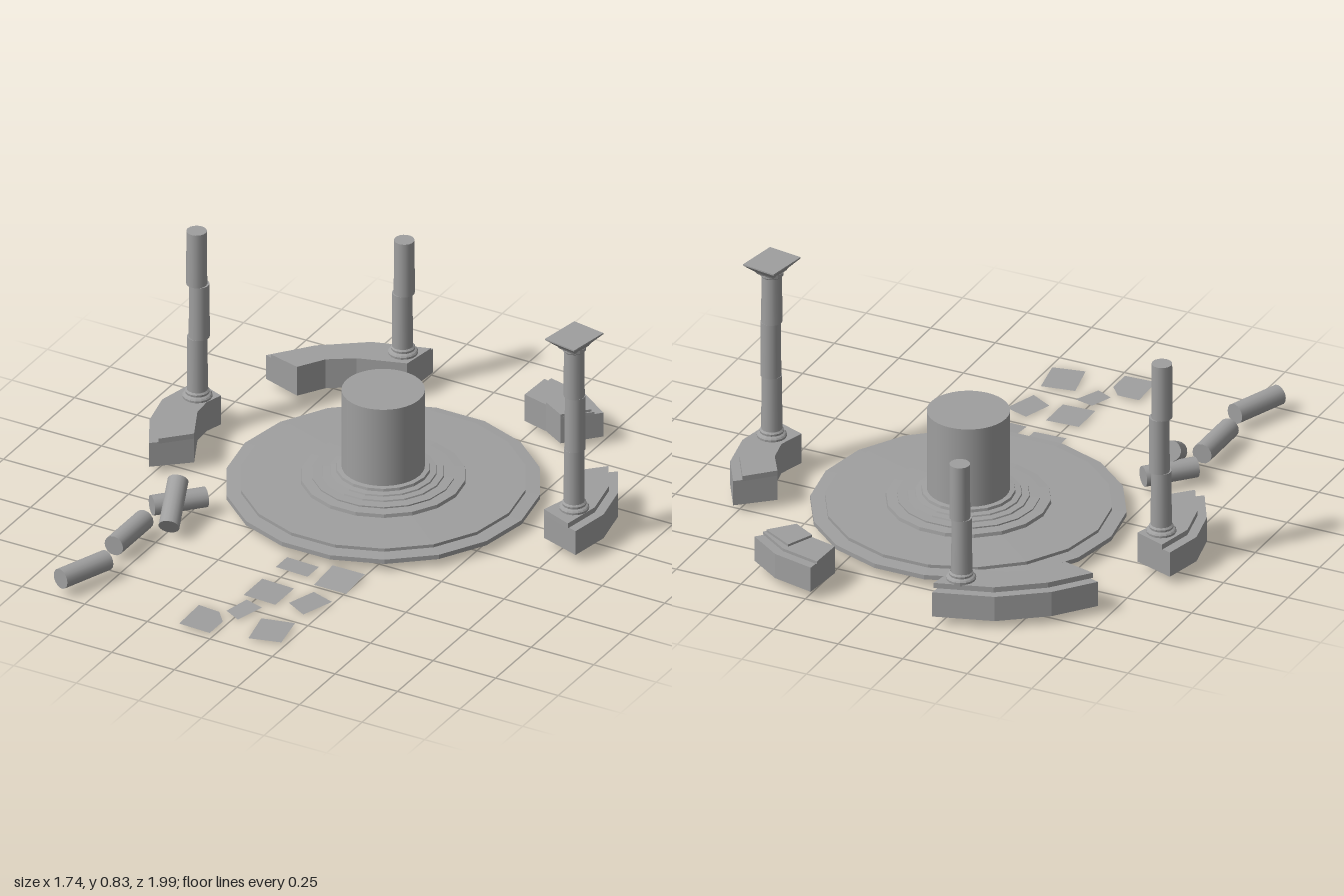
import * as THREE from 'three';

const CX = 0.016, CZ = -0.193; // centre of the ruined circle
const STONE = 0x9f9f9f;
const mat = new THREE.MeshStandardMaterial({ color: STONE, flatShading: true, side: THREE.DoubleSide });
const smooth = new THREE.MeshStandardMaterial({ color: STONE, side: THREE.DoubleSide });

function add(parent, name, geo, material = mat) {
  const mesh = new THREE.Mesh(geo, material);
  mesh.name = name;
  parent.add(mesh);
  return mesh;
}

// Upright prism over an [x, z] outline, left open underneath
function prism(points, y0, y1) {
  const shape = new THREE.Shape(points.map(([x, z]) => new THREE.Vector2(x, -z)));
  const geo = new THREE.ExtrudeGeometry(shape, { depth: y1 - y0, bevelEnabled: false });
  geo.rotateX(-Math.PI / 2).translate(0, y0, 0);
  const p = geo.attributes.position, kept = [];
  for (let i = 0; i < p.count; i += 3) {
    if (Math.max(p.getY(i), p.getY(i + 1), p.getY(i + 2)) < y0 + 1e-5) continue;
    for (let k = i; k < i + 3; k++) kept.push(p.getX(k), p.getY(k), p.getZ(k));
  }
  const open = new THREE.BufferGeometry();
  open.setAttribute('position', new THREE.Float32BufferAttribute(kept, 3));
  open.computeVertexNormals();
  return open;
}

function lathe(profile, segments, start = 0) {
  return new THREE.LatheGeometry(profile.map(([r, y]) => new THREE.Vector2(r, y)), segments, start);
}

// Curved wall block: outer and inner edges run the same way round; the upper tier is set back
function wallBlock(parent, name, outer, inner, tierTop = 0.152) {
  const block = new THREE.Group();
  block.name = name;
  const back = [...inner].reverse();
  add(block, 'wallBase', prism([...outer, ...back], 0.037, 0.132));
  const setBack = outer.map(([x, z]) => [CX + (x - CX) * 0.96, CZ + (z - CZ) * 0.96]);
  add(block, 'wallTier', prism([...setBack, ...back], 0.132, tierTop));
  parent.add(block);
  return block;
}

// Column of slightly shifted drums on a moulded base
function column(parent, name, x, z, joints, shifts) {
  const col = new THREE.Group();
  col.name = name;
  col.position.set(x, -0.003, z);
  add(col, 'columnBase', lathe([[0.052, 0.15], [0.053, 0.163], [0.049, 0.168], [0.042, 0.172],
    [0.043, 0.18], [0.037, 0.186]], 16));
  for (let i = 0; i < joints.length - 1; i++) {
    const h = joints[i + 1] - joints[i];
    const drum = add(col, 'columnDrum', new THREE.CylinderGeometry(0.036, 0.037, h, 16), smooth);
    drum.position.set(shifts[i], joints[i] + h / 2, -shifts[i] / 2);
    drum.rotation.y = i;
  }
  parent.add(col);
  return col;
}

// Fallen drum lying between two points
function fallenDrum(parent, a, b) {
  const from = new THREE.Vector3(...a), to = new THREE.Vector3(...b);
  const dir = to.clone().sub(from);
  const drum = add(parent, 'fallenDrum', new THREE.CylinderGeometry(0.037, 0.037, dir.length(), 16), smooth);
  drum.position.copy(from).add(to).multiplyScalar(0.5);
  drum.quaternion.setFromUnitVectors(new THREE.Vector3(0, 1, 0), dir.normalize());
}

export function createModel() {
  const model = new THREE.Group();
  model.name = 'ruinedCircle';

  // Stepped floor and central pedestal
  const floor = add(model, 'steppedFloor', lathe([[0.553, 0.037], [0.553, 0.054], [0.502, 0.057], [0.502, 0.069],
    [0.29, 0.072], [0.288, 0.085], [0.25, 0.087], [0.25, 0.092], [0.215, 0.093], [0.213, 0.098],
    [0.188, 0.099], [0.186, 0.104], [0.165, 0.106], [0.163, 0.116], [0.144, 0.118]], 18, Math.PI / 18));
  floor.position.set(CX, 0, CZ);
  const drum = add(model, 'centralPedestal', new THREE.CylinderGeometry(0.145, 0.145, 0.305, 36), smooth);
  drum.position.set(CX, 0.269, CZ);

  // Remaining pieces of the ring wall
  wallBlock(model, 'backRightWall',
    [[-0.71, -0.648], [-0.598, -0.788], [-0.438, -0.908], [-0.228, -0.973]],
    [[-0.558, -0.598], [-0.498, -0.693], [-0.408, -0.753], [-0.237, -0.808]]);
  const broken = wallBlock(model, 'backLeftWall',
    [[0.232, -0.995], [0.388, -0.958], [0.51, -0.873]],
    [[0.218, -0.833], [0.319, -0.807], [0.404, -0.757]], 0.143);
  add(broken, 'brokenStone', prism([[0.362, -0.908], [0.479, -0.842], [0.404, -0.757], [0.319, -0.807]], 0.143, 0.152));
  wallBlock(model, 'leftWall',
    [[0.758, -0.537], [0.833, -0.408], [0.865, -0.248], [0.839, -0.097]],
    [[0.638, -0.432], [0.693, -0.342], [0.713, -0.248], [0.684, -0.148]]);
  wallBlock(model, 'rightWall',
    [[-0.838, -0.343], [-0.87, -0.198], [-0.838, -0.052], [-0.758, 0.093]],
    [[-0.688, -0.292], [-0.708, -0.227], [-0.703, -0.152], [-0.637, -0.012]]);

  // Standing columns
  column(model, 'rightColumn', -0.758, -0.248, [0.18, 0.395, 0.605, 0.815], [0, 0.006, -0.002]);
  column(model, 'backColumn', -0.288, -0.868, [0.18, 0.395, 0.605], [-0.002, 0.004]);
  const tall = column(model, 'leftColumn', 0.771, -0.207, [0.18, 0.395, 0.605, 0.795], [0, 0.003, 0]);

  // Flared rectangular capital
  const capital = new THREE.Group();
  capital.name = 'capital';
  add(capital, 'capitalNeck', lathe([[0.037, 0.785], [0.042, 0.79], [0.042, 0.803]], 16));
  const flare = lathe([[0.055, 0.797], [0.062, 0.806], [0.109, 0.837], [0.109, 0.842], [0, 0.842]], 4, Math.PI / 4);
  flare.scale(0.85, 1, 1.04);
  add(capital, 'capitalPlate', flare);
  capital.rotation.y = -0.17;
  tall.add(capital);

  // Fallen drums
  [
    [[-0.561, 0.069, 0.473], [-0.561, 0.069, 0.687]],
    [[-0.533, 0.07, 0.788], [-0.606, 0.07, 0.983]],
    [[-0.453, 0.07, 0.23], [-0.586, 0.07, 0.375]],
    [[-0.523, 0.152, 0.302], [-0.468, 0.061, 0.463]],
  ].forEach(([a, b]) => fallenDrum(model, a, b));

  // Paving slabs: [x, z] outlines, then tilt about x and z
  const slabs = [
    [[[-0.044, 0.378], [0.083, 0.378], [0.083, 0.458], [-0.044, 0.458]], 0, -0.03],
    [[[0.126, 0.357], [0.255, 0.357], [0.255, 0.49], [0.126, 0.49]], 0.1, 0],
    [[[-0.044, 0.553], [0.083, 0.553], [0.083, 0.685], [-0.044, 0.685]], 0, -0.03],
    [[[0.156, 0.543], [0.246, 0.573], [0.203, 0.7], [0.119, 0.653]], 0, 0],
    [[[-0.017, 0.711], [0.056, 0.731], [0.019, 0.837], [-0.044, 0.805]], 0.06, 0],
    [[[0.088, 0.793], [0.209, 0.768], [0.235, 0.911], [0.119, 0.938]], 0, 0.02],
    [[[-0.144, 0.823], [-0.06, 0.827], [-0.017, 0.879], [-0.017, 0.971], [-0.139, 0.971]], 0, -0.03],
  ];
  slabs.forEach(([pts, tiltX, tiltZ]) => {
    const mx = pts.reduce((s, p) => s + p[0], 0) / pts.length;
    const mz = pts.reduce((s, p) => s + p[1], 0) / pts.length;
    const geo = new THREE.ShapeGeometry(new THREE.Shape(pts.map(([x, z]) => new THREE.Vector2(x - mx, mz - z))));
    const slab = add(model, 'pavingSlab', geo.rotateX(-Math.PI / 2));
    slab.position.set(mx, 0.014, mz);
    slab.rotation.set(tiltX, 0, tiltZ);
  });

  return model;
}
